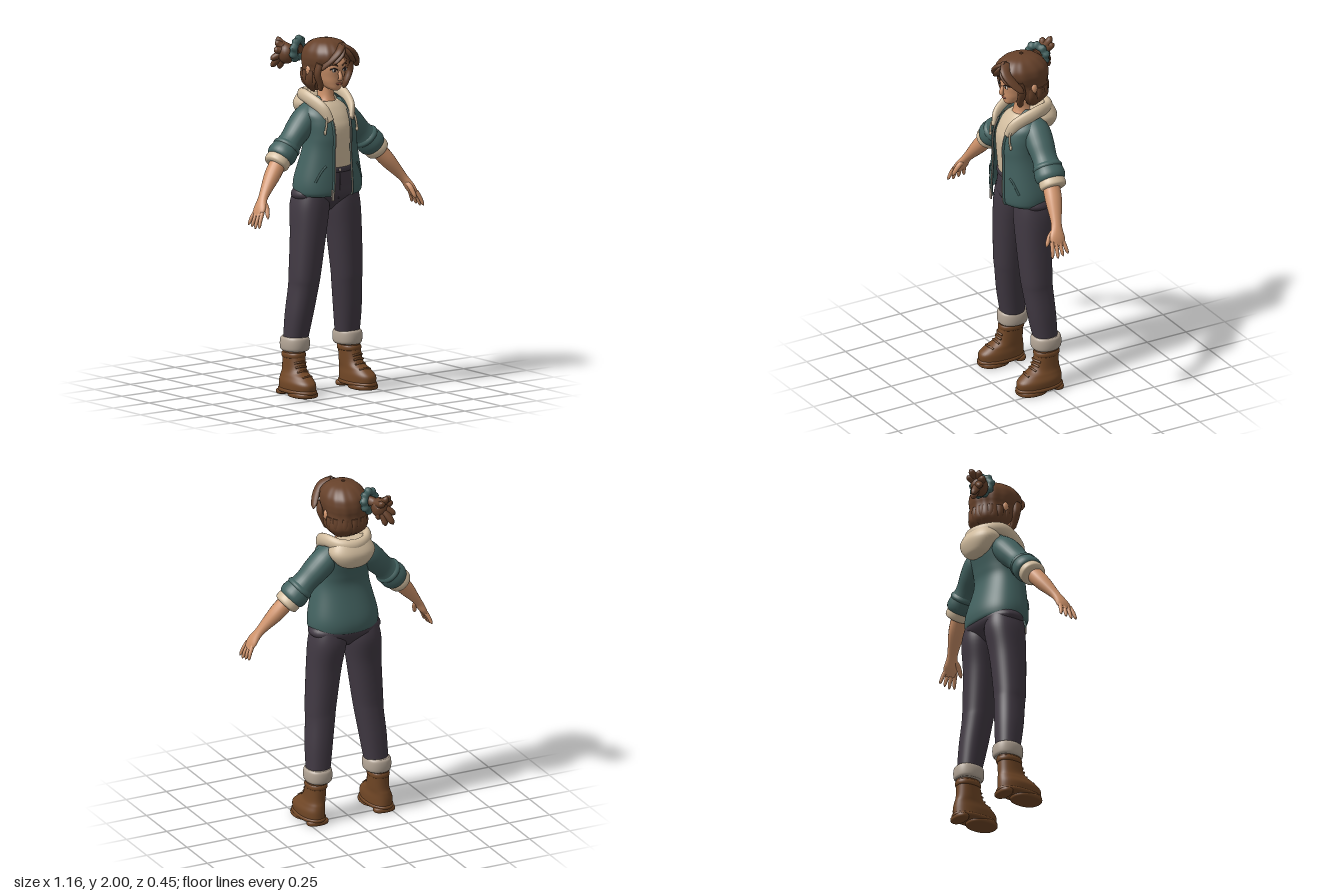
import * as THREE from 'three';

const paint = (name, color, side = THREE.FrontSide) => {
  const m = new THREE.MeshStandardMaterial({ color, side });
  m.name = name;
  return m;
};

// Catmull-Rom subdivision of a few rows
function smooth(rows, k = 6) {
  const out = [], at = i => rows[Math.min(Math.max(i, 0), rows.length - 1)];
  for (let i = 0; i < rows.length - 1; i++) for (let j = 0; j < k; j++) {
    const t = j / k;
    out.push(rows[i].map((b, c) => {
      const a = at(i - 1)[c], d = at(i + 1)[c], e = at(i + 2)[c];
      return b + 0.5 * t * (d - a + t * (2 * a - 5 * b + 4 * d - e + t * (3 * (b - d) + e - a)));
    }));
  }
  out.push(rows[rows.length - 1]);
  return out;
}

// Surface through rings of equal length, capped when closed
function skin(rings, open = false) {
  const n = rings[0].length, pos = [], idx = [];
  rings.forEach(r => r.forEach(p => pos.push(p.x, p.y, p.z)));
  const wrap = open ? n - 1 : n;
  for (let i = 0; i < rings.length - 1; i++) for (let j = 0; j < wrap; j++) {
    const a = i * n + j, b = i * n + (j + 1) % n;
    idx.push(a, b, a + n, b, b + n, a + n);
  }
  if (!open) [0, rings.length - 1].forEach((r, end) => {
    const c = rings[r].reduce((s, p) => s.add(p), new THREE.Vector3()).divideScalar(n);
    const k = pos.length / 3;
    pos.push(c.x, c.y, c.z);
    for (let j = 0; j < n; j++) {
      const a = r * n + j, b = r * n + (j + 1) % n;
      idx.push(...(end ? [a, b, k] : [b, a, k]));
    }
  });
  const g = new THREE.BufferGeometry();
  g.setAttribute('position', new THREE.Float32BufferAttribute(pos, 3));
  g.setIndex(idx);
  g.computeVertexNormals();
  return g;
}

// Upright body. Row: y, centre x, half width, front z, back z, half gap at the front
const P = 0.88;
const pw = v => Math.sign(v) * Math.abs(v) ** P;
const startAngle = ([, , rx, , , gap]) => Math.asin(Math.min(1, Math.max(0, gap) / rx) ** (1 / P));
const rowPoint = ([y, cx, rx, zf, zb], t, k = 1) =>
  new THREE.Vector3(cx + rx * k * pw(Math.sin(t)), y, (zf + zb) / 2 + (zf - zb) / 2 * k * pw(Math.cos(t)));
function body(rows, { open = false, n = 44, ripple = 0 } = {}) {
  return skin(smooth(rows).map(r => {
    const t0 = open ? startAngle(r) : 0;
    return Array.from({ length: n }, (_, j) => {
      const t = t0 + (2 * Math.PI - 2 * t0) * j / (open ? n - 1 : n);
      return rowPoint(r, t, 1 + ripple * Math.sin(t * 13 + r[0] * 12));
    });
  }), open);
}
// Padded band with rounded rims
const band = (y0, y1, cx, rx, zf, zb) => body([0, 0.15, 0.5, 0.85, 1].map(t => {
  const d = 0.012 * (2 * t - 1) ** 4;
  return [y0 + (y1 - y0) * t, cx, rx - d, zf - d, zb + d];
}));
// Point on the front of a body, lifted by off
function front(rows, x, y, off = 0) {
  const r = smooth(rows, 12).reduce((a, b) => Math.abs(b[0] - y) < Math.abs(a[0] - y) ? b : a);
  return [x, y, rowPoint(r, Math.asin(Math.min(1, Math.abs(x - r[1]) / r[2]) ** (1 / P))).z + off];
}

// Limb along a path. Row: x, y, z, radius across the axis, radius along it
function limb(rows, axis = [0, 0, 1], n = 18) {
  const s = smooth(rows), ref = new THREE.Vector3(...axis), c = s.map(r => new THREE.Vector3(...r.slice(0, 3)));
  return skin(s.map((r, i) => {
    const T = c[Math.min(i + 1, c.length - 1)].clone().sub(c[Math.max(i - 1, 0)]).normalize();
    const U = ref.clone().cross(T).normalize(), V = T.clone().cross(U);
    return Array.from({ length: n }, (_, j) => {
      const a = j / n * Math.PI * 2;
      return c[i].clone().addScaledVector(U, Math.cos(a) * r[3]).addScaledVector(V, Math.sin(a) * r[4]);
    });
  }));
}
const cord = (pts, r) => limb(pts.map(p => [...p, r, r]), [0.6, 0.1, 0.8], 7);
// Strand that stays full and then narrows to a tip
const strand = (pts, w, wide = 1, axis = [0.05, 0.1, 1]) => limb(smooth(pts, 3).map((p, i, all) => {
  const t = i / (all.length - 1), r = w * (0.12 + 0.88 * Math.sqrt(1 - t ** 3));
  return [...p, r, r * wide];
}), axis, 12);

export function createModel() {
  const model = new THREE.Group();
  model.name = 'youngWoman';
  const D = THREE.DoubleSide;
  const hair = paint('hairBrown', 0x66412a, D), skinTone = paint('skin', 0xcf936b), teal = paint('jacketTeal', 0x42615f, D);
  const cream = paint('fleeceCream', 0xd2bd9f), denim = paint('trouserPlum', 0x413943), grey = paint('cuffGrey', 0xb3a596);
  const leather = paint('bootLeather', 0x714726), white = paint('eyeWhite', 0xe6ddd2), dark = paint('darkBrown', 0x2b1d1a), lip = paint('lip', 0xa8604c);
  const add = (name, geo, mat) => {
    const m = new THREE.Mesh(geo, mat);
    m.name = name;
    model.add(m);
    return m;
  };
  const ball = (name, mat, p, s) => {
    const m = add(name, new THREE.SphereGeometry(1, 20, 14), mat);
    m.position.set(...p);
    m.scale.set(...s);
  };

  // Hips and shirt
  const hips = [[1.03, 0, 0.03, 0.09, 0], [1.11, 0, 0.205, 0.16, -0.07], [1.18, 0, 0.185, 0.168, -0.06], [1.27, 0, 0.145, 0.173, -0.03]];
  add('hips', body(hips), denim);
  add('waistband', band(1.25, 1.285, 0, 0.153, 0.182, -0.035), denim);
  ball('waistButton', grey, [0, 1.267, 0.183], [0.008, 0.008, 0.004]);
  add('fly', cord([1.25, 1.17, 1.1].map(y => front(hips, 0.012, y)), 0.004), denim);
  add('shirt', body([[1.26, 0, 0.135, 0.176, -0.02], [1.47, 0, 0.135, 0.195, -0.02], [1.55, 0, 0.13, 0.178, -0.03],
    [1.61, 0, 0.11, 0.145, -0.03], [1.645, 0, 0.07, 0.115, -0.01]]), cream);

  // Open jacket with zip edges, pockets and strings
  const jacket = [[1.125, 0, 0.19, 0.205, -0.07, 0.068], [1.15, 0, 0.202, 0.216, -0.082, 0.068], [1.22, 0, 0.199, 0.217, -0.078, 0.064],
    [1.38, 0, 0.163, 0.212, -0.035, 0.058], [1.46, 0, 0.156, 0.216, -0.04, 0.058], [1.54, 0, 0.16, 0.204, -0.058, 0.062],
    [1.6, 0, 0.155, 0.17, -0.07, 0.07], [1.675, 0, 0.07, 0.1, -0.04, 0.06]];
  add('jacketBody', body(jacket, { open: true, n: 56 }), teal);
  for (const s of [1, -1]) {
    const on = (x, y, o) => { const p = front(jacket, x, y, o); return [s * p[0], p[1], p[2]]; };
    const edge = smooth(jacket.slice(0, -1), 3).map(r => {
      const p = rowPoint(r, startAngle(r));
      return [s * p.x, p.y, p.z];
    });
    add('zipEdge', cord(edge, 0.007), teal);
    add('zipTeeth', cord(edge.map(([x, y, z]) => [x - s * 0.005, y, z + 0.006]), 0.003), grey);
    add('pocketEdge', cord([on(0.105, 1.3, 0), on(0.13, 1.27, 0), on(0.16, 1.21, 0)], 0.006), teal);
    add('drawstring', cord([1.62, 1.57, 1.53, 1.49].map((y, i) => on(0.09 + 0.007 * i, y, 0.02 - 0.003 * i)), 0.006), cream);
    ball('stringTip', cream, on(0.111, 1.49, 0.01), [0.008, 0.014, 0.008]);
  }
  add('zipPull', new THREE.BoxGeometry(0.014, 0.06, 0.008), grey).position.set(-0.072, 1.135, 0.213);

  // Hood: thick collar and the bag behind
  const half = [[0.072, 1.55, 0.195, 0.012, 0.02], [0.1, 1.62, 0.15, 0.021, 0.036], [0.122, 1.675, 0.03, 0.024, 0.037], [0.08, 1.67, -0.06, 0.026, 0.035]];
  const flip = half.map(([x, ...r]) => [-x, ...r]).reverse();
  add('hoodCollar', limb([...half, [0, 1.665, -0.09, 0.028, 0.035], ...flip], [0, 1, 0]), cream);
  add('hoodBag', body([[1.525, 0, 0.03, -0.04, -0.085], [1.55, 0, 0.09, 0, -0.118], [1.62, 0, 0.135, 0.045, -0.135], [1.69, 0, 0.1, 0.02, -0.1]]), cream);

  // Arms, legs and boots, mirrored
  for (const s of [1, -1]) {
    const m = rows => rows.map(([x, ...r]) => [s * x, ...r]);
    const mb = rows => rows.map(([y, x, ...r]) => [y, s * x, ...r]);
    // Station on the sleeve's straight axis: place along it, radius
    const arm = pairs => limb(m(pairs.map(([t, r]) => [0.07 + 0.263 * t, 1.61 - 0.265 * t, 0.03 + 0.03 * t, r, r * 1.12])), [0, 0, 1], 28);
    add('sleeve', arm([[0, 0.05], [0.2, 0.071], [0.42, 0.071], [0.65, 0.064], [0.87, 0.078], [0.96, 0.074], [1, 0.06]]), teal);
    add('sleeveFold', arm([[0.7, 0.06], [0.77, 0.077], [0.84, 0.064]]), teal);
    add('sleeveCuff', arm([[0.94, 0.06], [1, 0.068], [1.08, 0.067], [1.11, 0.052]]), cream);
    add('forearm', limb(m([[0.33, 1.347, 0.068, 0.045, 0.048], [0.4, 1.265, 0.088, 0.043, 0.048], [0.485, 1.162, 0.12, 0.024, 0.031],
      [0.525, 1.1, 0.138, 0.02, 0.046], [0.548, 1.058, 0.146, 0.009, 0.038]])), skinTone);
    for (let f = 0; f < 4; f++) {
      const len = 1 - 0.07 * Math.abs(f - 2), z = 0.112 + f * 0.022, d = (f - 1.5) * 0.012;
      add('finger', strand(m([0, 0.5, 1].map(t => [0.535 + len * t * (0.055 - 0.015 * t), 1.085 - 0.09 * len * t, z + d * t])), 0.0115), skinTone);
    }
    add('thumb', strand(m([[0.5, 1.135, 0.142], [0.502, 1.105, 0.173], [0.515, 1.05, 0.202]]), 0.015), skinTone);

    add('trouserLeg', body(mb([[0.3, 0.18, 0.066, 0.078, -0.055], [0.45, 0.168, 0.075, 0.108, -0.05], [0.6, 0.151, 0.08, 0.13, -0.04],
      [0.68, 0.145, 0.085, 0.14, -0.038], [0.9, 0.124, 0.095, 0.154, -0.047], [1.06, 0.107, 0.103, 0.158, -0.068], [1.16, 0.1, 0.085, 0.15, -0.05]])), denim);
    add('trouserCuff', band(0.245, 0.325, s * 0.183, 0.077, 0.096, -0.076), grey);

    const boot = mb([[0.03, 0.208, 0.068, 0.203, -0.068], [0.075, 0.209, 0.069, 0.205, -0.068], [0.11, 0.204, 0.06, 0.165, -0.064],
      [0.15, 0.197, 0.054, 0.105, -0.057], [0.26, 0.192, 0.054, 0.077, -0.058]]);
    add('bootUpper', body(boot), leather);
    add('bootCollar', band(0.205, 0.24, s * 0.193, 0.059, 0.088, -0.063), leather);
    add('bootWelt', band(0.018, 0.042, s * 0.209, 0.075, 0.212, -0.075), leather);
    add('bootSole', band(0, 0.03, s * 0.209, 0.074, 0.21, 0.025), leather);
    add('bootHeel', band(0, 0.03, s * 0.207, 0.065, 0.005, -0.074), leather);
    for (let i = 0; i < 4; i++) {
      const y = 0.118 + i * 0.024;
      add('bootLace', cord([-1, 0, 1].map(u => front(boot, s * 0.2 + u * 0.035, y - 0.006 * u * u, 0.002)), 0.006), leather);
    }
  }

  // Neck and head
  add('neck', body([[1.59, 0, 0.085, 0.135, -0.02], [1.665, 0, 0.042, 0.104, 0], [1.77, 0, 0.04, 0.1, 0.01]]), skinTone);
  const face = [[1.71, 0, 0.014, 0.155, 0.115], [1.722, 0, 0.034, 0.167, 0.08], [1.745, 0, 0.053, 0.172, 0.03], [1.785, 0, 0.071, 0.177, -0.01],
    [1.87, 0, 0.085, 0.18, -0.04], [1.95, 0, 0.03, 0.1, 0.02]];
  add('head', body(face), skinTone);
  add('nose', limb([[0, 1.84, 0.172, 0.006, 0.008], [0, 1.788, 0.19, 0.012, 0.013], [0, 1.775, 0.178, 0.008, 0.01]], [1, 0, 0]), skinTone);
  ball('mouth', lip, front(face, 0, 1.752), [0.021, 0.006, 0.005]);
  for (const s of [1, -1]) {
    const on = (x, y) => { const p = front(face, x, y, 0.002); return [s * p[0], p[1], p[2]]; };
    ball('eyeWhite', white, on(0.036, 1.831), [0.017, 0.01, 0.003]);
    ball('iris', dark, on(0.035, 1.831), [0.008, 0.009, 0.006]);
    add('eyelid', cord([on(0.017, 1.832), on(0.036, 1.843), on(0.056, 1.835)], 0.003), dark);
    add('eyebrow', cord([on(0.016, 1.856), on(0.04, 1.865), on(0.062, 1.857)], 0.004), hair);
    ball('ear', skinTone, [s * 0.112, 1.822, 0.045], [0.016, 0.03, 0.02]);
  }

  // Hair cap, open over the face
  add('hairCap', body([[1.695, 0, 0.07, 0.07, -0.02, 0.066], [1.75, 0, 0.116, 0.138, -0.088, 0.1], [1.83, 0, 0.116, 0.17, -0.088, 0.088],
    [1.865, 0, 0.122, 0.195, -0.092, 0.075], [1.9, 0, 0.124, 0.208, -0.09, 0.02], [1.94, 0, 0.113, 0.196, -0.075, 0],
    [1.98, 0, 0.075, 0.15, -0.025, 0], [1.998, 0, 0.01, 0.07, 0.05, 0]], { open: true, n: 90, ripple: 0.013 }), hair);

  // Fringe swept from an off-centre parting, and strands framing the face
  for (const s of [1, -1]) {
    const m = pts => pts.map(([x, y, z]) => [0.02 + s * x, y, z]);
    add('fringe', strand(m([[0, 1.965, 0.165], [0.045, 1.935, 0.198], [0.09, 1.885, 0.178], [0.128, 1.83, 0.13]]), 0.016, 2), hair);
    add('innerFringe', strand(m([[0, 1.955, 0.175], [0.03, 1.915, 0.205], [0.075, 1.865, 0.19]]), 0.013, 2), hair);
    add('faceStrand', strand([[s * 0.103, 1.87, 0.135], [s * 0.112, 1.81, 0.123], [s * 0.09, 1.75, 0.12], [s * 0.08, 1.71, 0.105]], 0.016, 1.6), hair);
  }
  // Curls round the sides and nape
  for (let i = 0; i < 9; i++) {
    const a = (75 + i * 26.25) * Math.PI / 180, u = Math.sin(a), v = Math.cos(a);
    const pts = [0, 1, 2, 3].map(k => [0.104 + 0.012 * k - 0.0105 * k * k, 1.82 - 0.05 * k + 0.004 * k * k]).map(([r, y]) => [u * r, y, 0.03 + v * r]);
    add('napeCurl', strand(pts, 0.022, 1.1, [v, 0, -u]), hair);
  }

  // Ponytail with its scrunchie
  ball('ponytailCore', hair, [-0.125, 1.89, -0.142], [0.048, 0.058, 0.05]);
  for (let i = 0; i < 9; i++) {
    const a = i / 9 * Math.PI * 2, tip = [-0.145 + 0.055 * Math.cos(a), 1.885 + 0.09 * Math.sin(a), -0.19 + 0.03 * Math.cos(2 * a + 1)];
    const mid = [-0.125, 1.905, -0.15].map((v, k) => v + (tip[k] - v) * 0.5);
    add('ponytailLock', strand([[-0.08, 1.92, -0.075], [-0.105, 1.915, -0.125], mid, tip], 0.025, 1.1, [0.9, 0.3, -0.2]), hair);
  }
  const ring = new THREE.TorusGeometry(0.052, 0.022, 12, 60), rp = ring.attributes.position;
  for (let i = 0; i < rp.count; i++) {
    const k = 1 + 0.07 * Math.sin(9 * Math.atan2(rp.getY(i), rp.getX(i)));
    rp.setXYZ(i, rp.getX(i) * k, rp.getY(i) * k, rp.getZ(i) * k);
  }
  ring.computeVertexNormals();
  const scrunchie = add('scrunchie', ring, teal);
  scrunchie.position.set(-0.085, 1.92, -0.095);
  scrunchie.lookAt(-0.565, 2.07, -0.945);
  return model;
}
